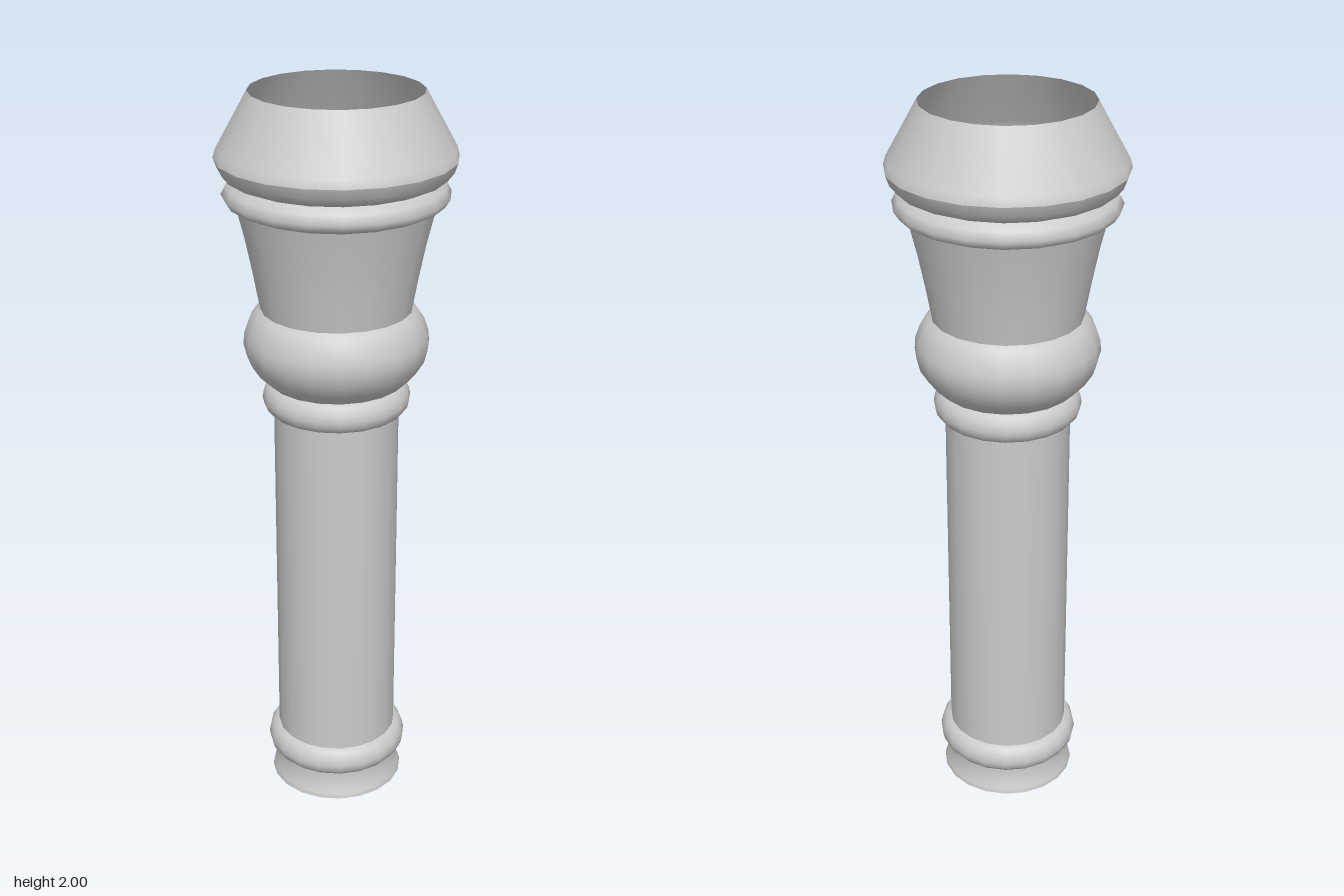
import * as THREE from 'three';

const SIDES = 20;

export function createModel() {
  const model = new THREE.Group();
  model.name = 'balusterColumn';
  const material = new THREE.MeshStandardMaterial({ color: 0xcccccc, side: THREE.DoubleSide });

  // One smooth turned band from [radius, height] pairs, listed from the bottom up;
  // separate bands keep the edges between them sharp
  const turn = (name, profile) => {
    const points = profile.map(([r, y]) => new THREE.Vector2(r, y));
    const mesh = new THREE.Mesh(new THREE.LatheGeometry(points, SIDES), material);
    mesh.name = name;
    model.add(mesh);
  };

  // Rounded ring moulding that meets the shaft at both edges
  const ring = (name, y) => turn(name, [
    [0.167, y], [0.182, y + 0.004], [0.193, y + 0.018], [0.197, y + 0.036],
    [0.193, y + 0.056], [0.182, y + 0.074], [0.167, y + 0.08],
  ]);

  // Foot and shaft
  turn('footRim', [[0.187, 0], [0.185, 0.01]]);
  turn('footCove', [[0.185, 0.01], [0.177, 0.03], [0.171, 0.055], [0.171, 0.08]]);
  ring('lowerRing', 0.08);
  turn('shaft', [[0.167, 0.16], [0.167, 1.15]]);
  ring('upperRing', 1.15);

  // Bulb and flared neck
  turn('bulb', [
    [0.167, 1.23], [0.182, 1.235], [0.213, 1.265], [0.235, 1.3], [0.244, 1.335],
    [0.242, 1.365], [0.23, 1.4], [0.215, 1.422], [0.199, 1.435],
  ]);
  turn('neck', [[0.199, 1.435], [0.216, 1.53], [0.234, 1.62], [0.256, 1.71]]);

  // Collar and open cap
  turn('collar', [[0.256, 1.71], [0.279, 1.72], [0.292, 1.74], [0.28, 1.762], [0.26, 1.778]]);
  turn('capUnderside', [[0.26, 1.778], [0.284, 1.788], [0.3, 1.808], [0.309, 1.833]]);
  turn('capSlope', [[0.309, 1.833], [0.303, 1.855], [0.222, 2]]);

  return model;
}
